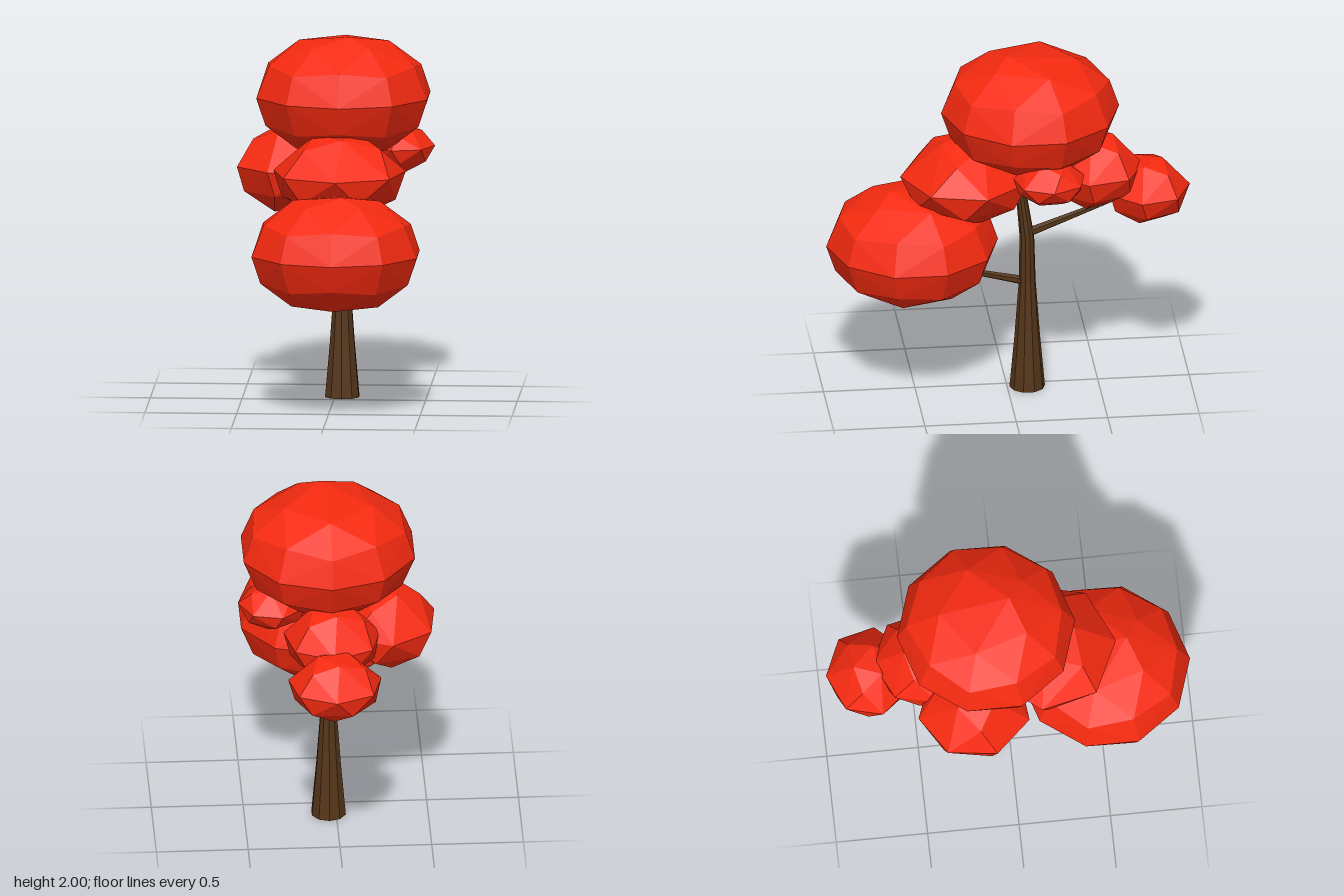
import * as THREE from 'three';
import { ConvexGeometry } from 'three/addons/geometries/ConvexGeometry.js';

const leafMaterial = new THREE.MeshStandardMaterial({ color: 0xf52a10, flatShading: true });
const barkMaterial = new THREE.MeshStandardMaterial({ color: 0x553519, flatShading: true });

// Rings of a unit facetted ball: [height, radius, count, turn, shift x, shift z]
const P = Math.PI;
const LARGE = [
  [1, 0, 1, 0, 0.08, 0.27],
  [0.85, 0.526, 5, P], [0.447, 0.894, 5, P], [0.526, 0.851, 5, 0],
  [0, 1, 10, 0],
  [-0.526, 0.851, 5, P], [-0.447, 0.894, 5, 0], [-0.85, 0.526, 5, 0],
  [-1, 0, 1, 0, -0.08, -0.27],
];
const SMALL = [
  [0.97, 0.38, 3, 0.4], [0.72, 0.66, 3, 1.45],
  [0.1, 1, 7, 0.2],
  [-0.5, 0.85, 6, 0.6], [-0.97, 0.36, 3, 0.1],
];

function foliage(name, rings, center, radii, turn = 0) {
  const points = [];
  for (const [y, r, n, start, sx = 0, sz = 0] of rings) {
    for (let i = 0; i < n; i++) {
      const a = start + turn + (i / n) * P * 2;
      points.push(new THREE.Vector3(
        (r * Math.sin(a) + sx) * radii[0], y * radii[1], (r * Math.cos(a) + sz) * radii[2]));
    }
  }
  const mesh = new THREE.Mesh(new ConvexGeometry(points), leafMaterial);
  mesh.name = name;
  mesh.position.set(...center);
  return mesh;
}

// Tapered limb lofted through sections [x, y, z, radius], with closed ends.
// Upright limbs use level sections; others are turned across their run.
function limb(name, sections, sides) {
  const pos = [], index = [];
  const centers = sections.map(([x, y, z]) => new THREE.Vector3(x, y, z));
  const run = centers[centers.length - 1].clone().sub(centers[0]).normalize();
  const axis = run.y > 0.9 ? new THREE.Vector3(0, 1, 0) : run;
  const turn = new THREE.Quaternion().setFromUnitVectors(new THREE.Vector3(0, 1, 0), axis);
  sections.forEach((s, k) => {
    for (let i = 0; i < sides; i++) {
      const a = (i / sides) * P * 2;
      const v = new THREE.Vector3(Math.sin(a) * s[3], 0, Math.cos(a) * s[3]);
      v.applyQuaternion(turn).add(centers[k]);
      pos.push(v.x, v.y, v.z);
      if (k > 0) {
        const j = (i + 1) % sides, lo = (k - 1) * sides, hi = k * sides;
        index.push(lo + i, lo + j, hi + j, lo + i, hi + j, hi + i);
      }
    }
  });
  const last = (sections.length - 1) * sides;
  for (let i = 1; i < sides - 1; i++) {
    index.push(0, i + 1, i, last, last + i, last + i + 1);
  }
  const geometry = new THREE.BufferGeometry();
  geometry.setAttribute('position', new THREE.Float32BufferAttribute(pos, 3));
  geometry.setIndex(index);
  const flat = geometry.toNonIndexed();
  flat.computeVertexNormals();
  const mesh = new THREE.Mesh(flat, barkMaterial);
  mesh.name = name;
  return mesh;
}

export function createModel() {
  const tree = new THREE.Group();
  tree.name = 'tree';

  // Trunk, leaning forward near the top
  tree.add(limb('trunk', [
    [0.04, 0, -0.11, 0.097], [0.04, 0.3, -0.11, 0.07], [0.04, 0.63, -0.11, 0.046],
    [0.04, 0.9, -0.108, 0.04], [0.04, 1.13, -0.08, 0.03], [0.04, 1.4, -0.05, 0.02],
  ], 10));

  // Side branches
  tree.add(limb('frontBranch', [[0.04, 0.63, -0.1, 0.026], [0.04, 0.73, 0.32, 0.012]], 6));
  tree.add(limb('backBranch', [[0.04, 0.92, -0.12, 0.027], [0.04, 1.11, -0.62, 0.012]], 6));

  // Large foliage clumps
  tree.add(foliage('topFoliage', LARGE, [0.045, 1.66, -0.125], [0.49, 0.34, 0.487]));
  tree.add(foliage('lowerFrontFoliage', LARGE, [0.04, 0.89, 0.52], [0.473, 0.33, 0.47]));

  // Small foliage clumps
  tree.add(foliage('middleFrontFoliage', SMALL, [0.04, 1.265, 0.225], [0.37, 0.23, 0.36], -0.2));
  tree.add(foliage('rightFoliage', SMALL, [-0.26, 1.235, -0.22], [0.29, 0.23, 0.31], 1.25));
  tree.add(foliage('leftFoliage', SMALL, [0.35, 1.36, -0.2], [0.19, 0.125, 0.2], 0.5));
  tree.add(foliage('backFoliage', SMALL, [0.04, 1.28, -0.48], [0.27, 0.205, 0.265], 2.94));
  tree.add(foliage('farBackFoliage', SMALL, [0.04, 1.15, -0.765], [0.26, 0.178, 0.235], 2.94));

  return tree;
}
